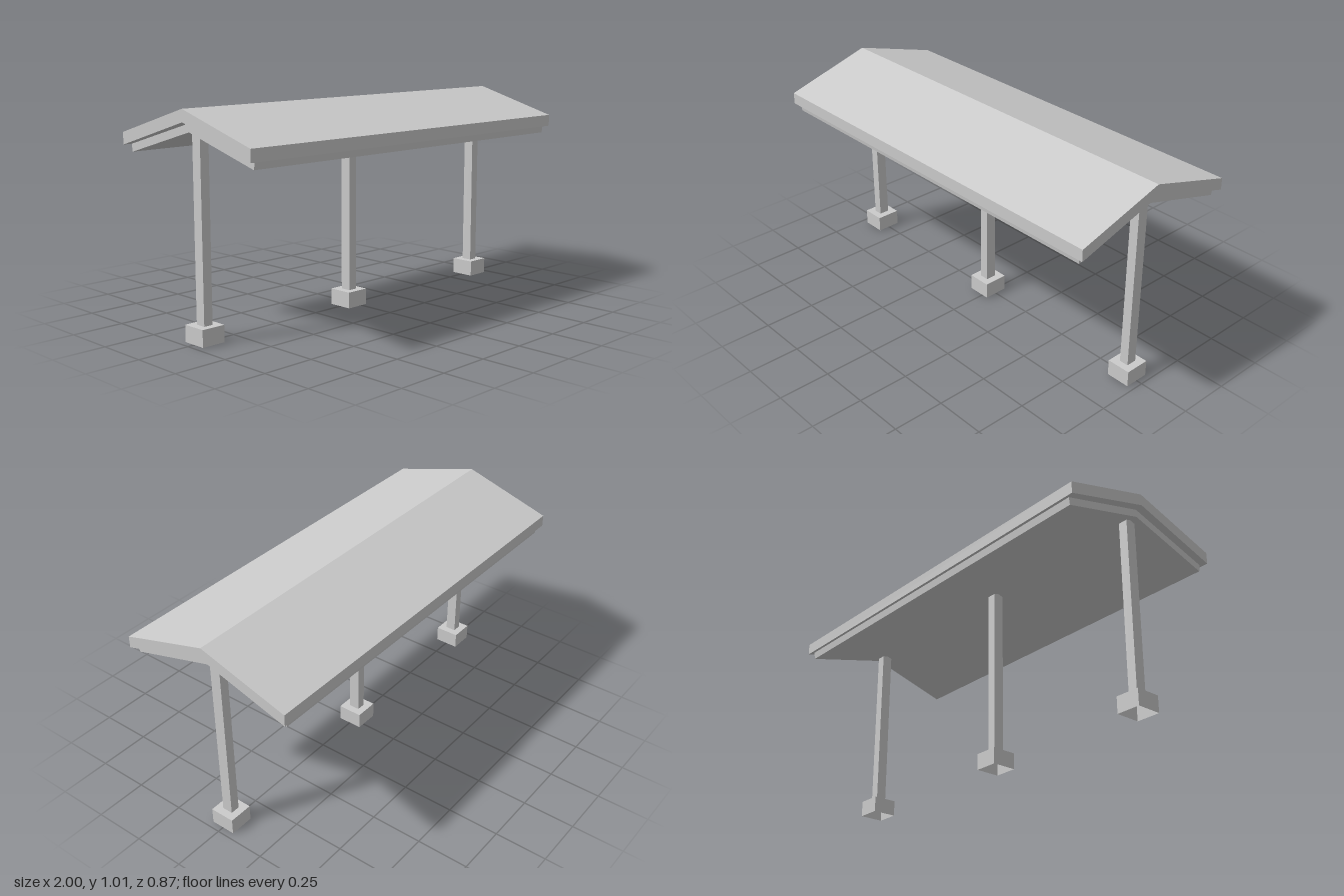
import * as THREE from 'three';

const grey = new THREE.MeshStandardMaterial({ color: 0xcccccc, flatShading: true });
const greyOpen = new THREE.MeshStandardMaterial({ color: 0xcccccc, flatShading: true, side: THREE.DoubleSide });

function add(parent, name, geometry, material = grey) {
  const mesh = new THREE.Mesh(geometry, material);
  mesh.name = name;
  parent.add(mesh);
  return mesh;
}

// Gabled slab: half profile [z, y] from top ridge to bottom ridge, mirrored and run along x
function gable(half, length) {
  const mirrored = half.slice(1, -1).reverse().map(([z, y]) => [-z, y]);
  const shape = new THREE.Shape([...half, ...mirrored].map(([z, y]) => new THREE.Vector2(z, y)));
  const geometry = new THREE.ExtrudeGeometry(shape, { depth: length, bevelEnabled: false });
  return geometry.translate(0, 0, -length / 2).rotateY(Math.PI / 2);
}

// Footing block with an open underside
function footingGeometry(w, h, d) {
  const geometry = new THREE.BoxGeometry(w, h, d);
  const index = Array.from(geometry.index.array);
  index.splice(18, 6); // drop the bottom face
  geometry.setIndex(index);
  return geometry.translate(0, h / 2, 0);
}

export function createModel() {
  const model = new THREE.Group();
  model.name = 'shelter';

  // Roof and the thinner ceiling panel beneath it
  add(model, 'roof', gable([[0, 1.015], [0.433, 0.887], [0.433, 0.831], [0, 0.959]], 2));
  add(model, 'ceilingPanel', gable([[0, 0.952], [0.418, 0.833], [0.413, 0.798], [0, 0.915]], 1.933));

  // Row of posts on footings; the middle one stands slightly off centre
  const footingHeight = 0.078;
  const postTop = 0.93;
  for (const x of [-0.908, -0.026, 0.91]) {
    const support = new THREE.Group();
    support.name = 'support';
    support.position.x = x;
    const height = postTop - footingHeight;
    add(support, 'post', new THREE.BoxGeometry(0.045, height, 0.052)).position.y = footingHeight + height / 2;
    add(support, 'footing', footingGeometry(0.117, footingHeight, 0.121), greyOpen);
    model.add(support);
  }
  return model;
}
